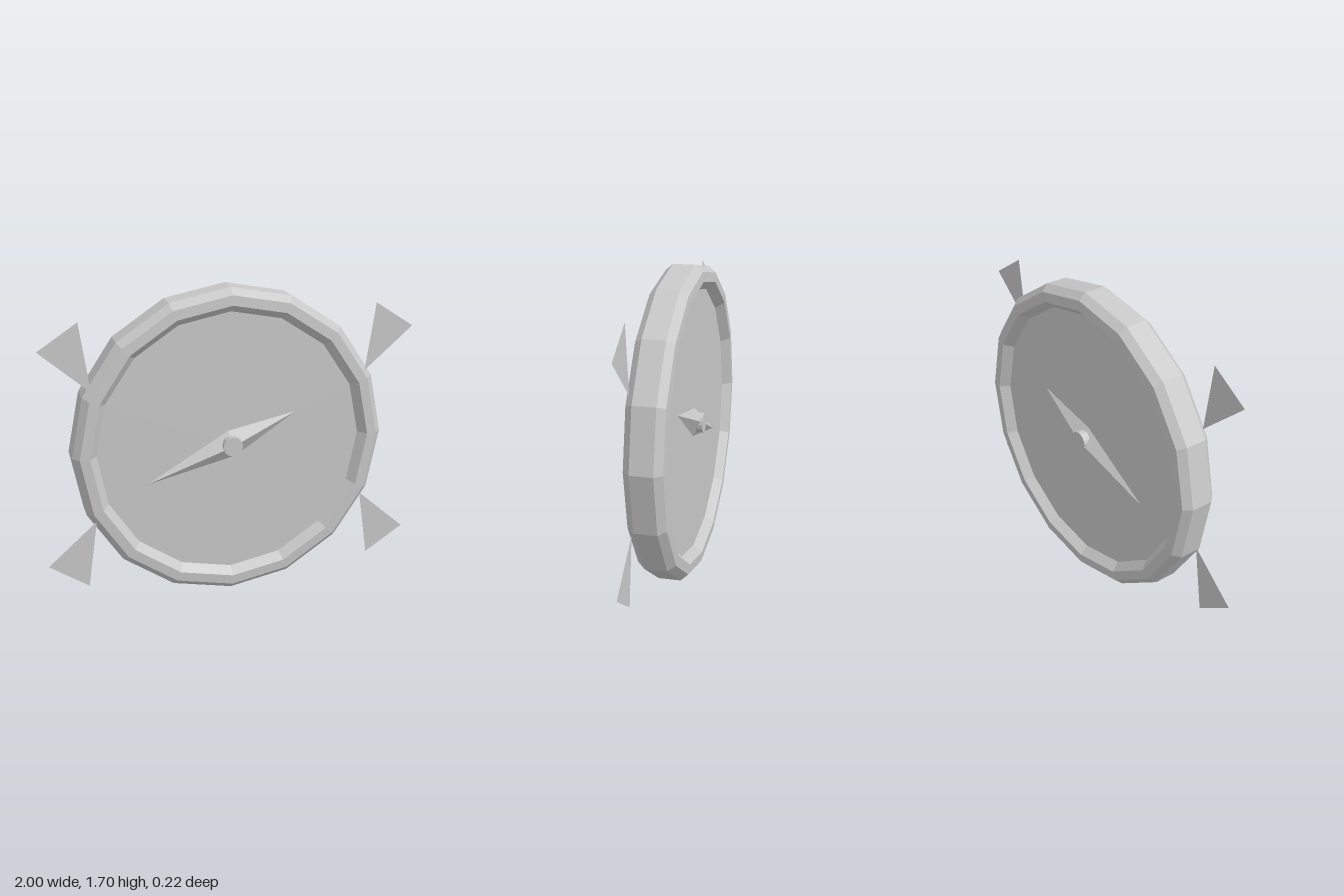
import * as THREE from 'three';

const CY = 0.848; // height of the dial centre
const metal = new THREE.MeshStandardMaterial({ color: 0xc8c8c8, flatShading: true, side: THREE.DoubleSide });
metal.name = 'plain grey';

function add(group, name, geometry) {
  const mesh = new THREE.Mesh(geometry, metal);
  mesh.name = name;
  group.add(mesh);
  return mesh;
}

// One face of the needle: a low four-sided pyramid, raised towards side s (+1 front, -1 back)
function needleGeometry(s) {
  const corners = [[0.36, 0.15], [-0.015, 0.073], [-0.457, -0.187], [0.03, -0.07]];
  const apex = [0, 0, s * 0.109];
  const positions = [];
  corners.forEach((a, i) => {
    const b = corners[(i + 1) % 4];
    const pair = s > 0 ? [a, b] : [b, a];
    pair.forEach(([x, y]) => positions.push(x, y, s * 0.056));
    positions.push(...apex);
  });
  const g = new THREE.BufferGeometry();
  g.setAttribute('position', new THREE.Float32BufferAttribute(positions, 3));
  g.computeVertexNormals();
  return g;
}

export function createModel() {
  const root = new THREE.Group();
  root.name = 'compass';
  const body = new THREE.Group();
  body.name = 'compassBody';
  body.position.y = CY;
  root.add(body);

  // Sixteen-sided bevelled rim, the same front and back
  const half = [[0.72, 0.055], [0.76, 0.103], [0.813, 0.099], [CY, 0.06]];
  const profile = [
    ...half.map(([r, z]) => new THREE.Vector2(r, -z)),
    ...half.slice().reverse().map(([r, z]) => new THREE.Vector2(r, z)),
  ];
  add(body, 'rim', new THREE.LatheGeometry(profile, 16).rotateX(Math.PI / 2));

  // Recessed dial plate and the central pin running through it
  add(body, 'dial', new THREE.CylinderGeometry(0.724, 0.724, 0.108, 16).rotateX(Math.PI / 2));
  add(body, 'pin', new THREE.CylinderGeometry(0.053, 0.053, 0.222, 16).rotateX(Math.PI / 2));

  // Needle on both faces
  add(body, 'frontNeedle', needleGeometry(1));
  add(body, 'backNeedle', needleGeometry(-1));

  // Four flat triangular pointers around the rim
  for (const sx of [1, -1]) {
    for (const sy of [1, -1]) {
      const fin = new THREE.Shape([[1, 0.585], [0.79, 0.723], [0.737, 0.355]]
        .map(([x, y]) => new THREE.Vector2(sx * x, sy * y)));
      const name = (sy > 0 ? 'upper' : 'lower') + (sx > 0 ? 'Left' : 'Right') + 'Pointer';
      add(body, name, new THREE.ShapeGeometry(fin)).position.z = 0.083;
    }
  }
  return root;
}
